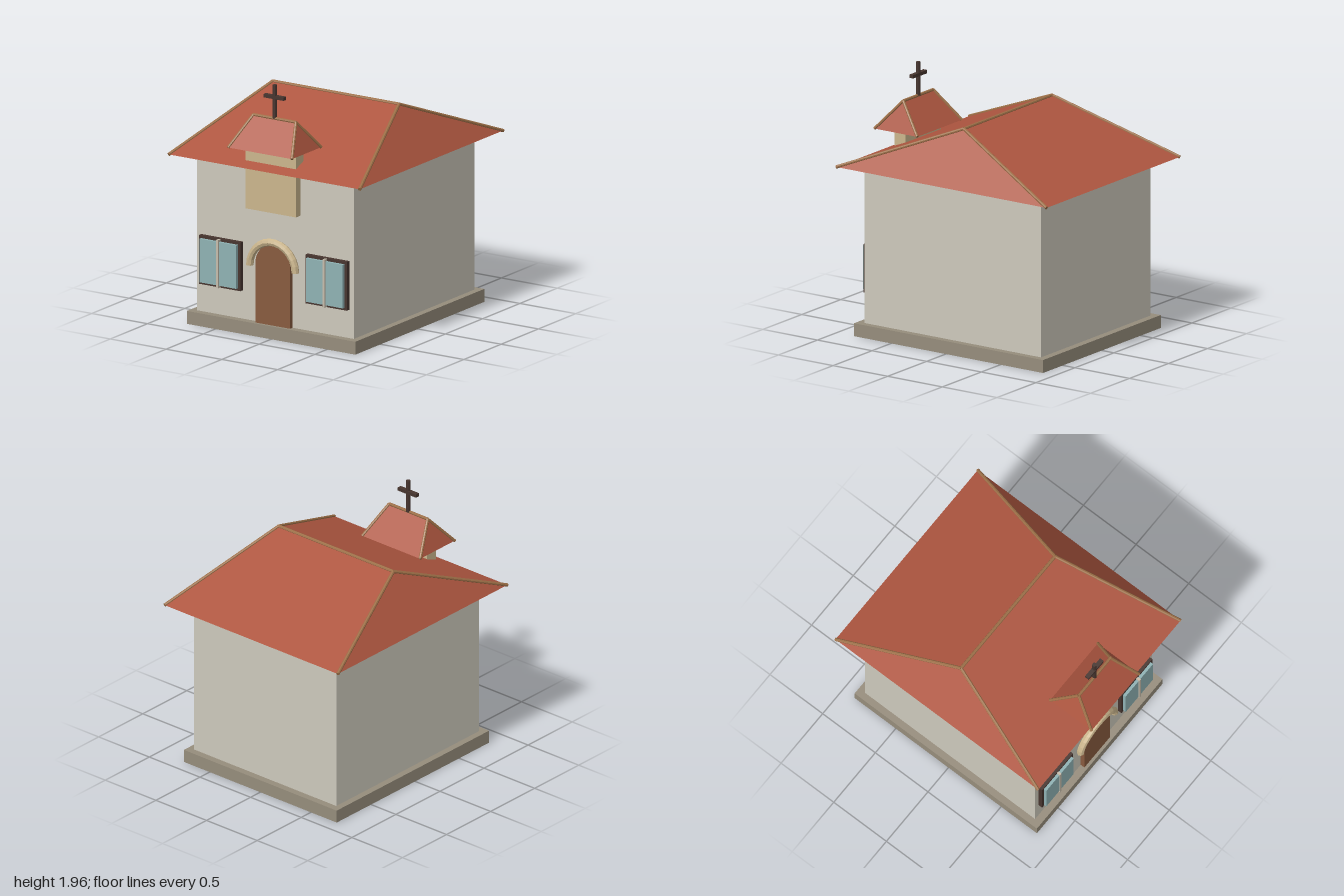
import * as THREE from 'three';

const mat = (name, color, flatShading = true) => {
  const m = new THREE.MeshStandardMaterial({ color, flatShading });
  m.name = name;
  return m;
};

export function createModel() {
  const model = new THREE.Group();
  const plaster = mat('plaster', 0xcdc9bc);
  const stone = mat('baseStone', 0x968d7c);
  const tile = mat('roofTile', 0xae5640);
  const trim = mat('ridgeTile', 0x9c6f47);
  const sand = mat('sandstone', 0xcbb68d);
  const wood = mat('doorWood', 0x885b3f);
  const dark = mat('darkWood', 0x47352f);
  const glass = mat('glass', 0x8fb2b4);
  const pale = mat('mullionPaint', 0xc6bdac);

  const add = (name, geo, material, parent = model) => {
    const mesh = new THREE.Mesh(geo, material);
    mesh.name = name;
    parent.add(mesh);
    return mesh;
  };
  // Box given by its min and max on each axis
  const box = (name, material, x0, x1, y0, y1, z0, z1, parent) =>
    add(name, new THREE.BoxGeometry(x1 - x0, y1 - y0, z1 - z0), material, parent)
      .position.set((x0 + x1) / 2, (y0 + y1) / 2, (z0 + z1) / 2);

  // Hipped roof with a flat underside and round tiles on ridge and hips
  const hipRoof = (name, w, y0, z0, z1, ridgeW, y1, ridgeZ, r) => {
    const group = new THREE.Group();
    group.name = name;
    const p = [[-w, y0, z1], [w, y0, z1], [w, y0, z0], [-w, y0, z0], [-ridgeW, y1, ridgeZ], [ridgeW, y1, ridgeZ]];
    const faces = [0, 1, 5, 0, 5, 4, 1, 2, 5, 2, 3, 4, 2, 4, 5, 3, 0, 4, 0, 3, 2, 0, 2, 1];
    const geo = new THREE.BufferGeometry();
    geo.setAttribute('position', new THREE.Float32BufferAttribute(faces.flatMap(i => p[i]), 3));
    geo.computeVertexNormals();
    add(name + 'Slopes', geo, tile, group);
    for (const [a, b] of [[4, 5], [0, 4], [3, 4], [1, 5], [2, 5]]) {
      const A = new THREE.Vector3(...p[a]), B = new THREE.Vector3(...p[b]);
      const dir = B.clone().sub(A);
      const tube = add(name + 'Trim', new THREE.CylinderGeometry(r, r, dir.length(), 8), trim, group);
      tube.position.copy(A).add(B).multiplyScalar(0.5);
      tube.quaternion.setFromUnitVectors(new THREE.Vector3(0, 1, 0), dir.normalize());
    }
    model.add(group);
  };

  // Main body
  box('base', stone, -0.755, 0.755, 0, 0.1, -0.89, 0.84);
  box('walls', plaster, -0.703, 0.703, 0.1, 1.32, -0.835, 0.782);
  hipRoof('mainRoof', 0.855, 1.318, -0.993, 0.932, 0.565, 1.705, -0.03, 0.013);

  // Bell gable block with its own roof
  box('gableBlock', sand, -0.226, 0.226, 0.98, 1.478, 0.745, 0.845);
  hipRoof('gableRoof', 0.286, 1.475, 0.596, 0.988, 0.19, 1.7, 0.792, 0.012);

  // Cross
  add('crossPost', new THREE.CylinderGeometry(0.017, 0.017, 0.26, 8), dark).position.set(0, 1.83, 0.79);
  box('crossBar', dark, -0.09, 0.09, 1.852, 1.878, 0.773, 0.807);

  // Arched door
  const door = new THREE.Shape();
  door.moveTo(-0.155, 0.1);
  door.lineTo(0.155, 0.1);
  door.lineTo(0.155, 0.565);
  door.absarc(0, 0.565, 0.155, 0, Math.PI, false);
  door.lineTo(-0.155, 0.1);
  add('door', new THREE.ExtrudeGeometry(door, { depth: 0.04, bevelEnabled: false, curveSegments: 16 }), wood)
    .position.z = 0.777;

  // Stone arch made of separate rounded blocks
  const arch = new THREE.Group();
  arch.name = 'doorArch';
  arch.position.set(0, 0.54, 0.82);
  const stones = 13;
  for (let i = 0; i < stones; i++) {
    const block = add('archStone', new THREE.TorusGeometry(0.204, 0.029, 8, 1, Math.PI / stones), sand, arch);
    block.rotation.z = i * Math.PI / stones;
  }
  for (const s of [-1, 1]) {
    const cap = add('archEnd', new THREE.CircleGeometry(0.029, 8), sand, arch);
    cap.position.x = s * 0.204;
    cap.rotation.x = Math.PI / 2;
  }
  model.add(arch);

  // Windows either side of the door
  for (const s of [-1, 1]) {
    const win = new THREE.Group();
    win.name = s > 0 ? 'leftWindow' : 'rightWindow';
    win.position.x = s * 0.477;
    box('windowFrame', dark, -0.186, 0.186, 0.32, 0.697, 0.778, 0.817, win);
    box('windowGlass', glass, -0.165, 0.165, 0.34, 0.677, 0.815, 0.84, win);
    box('mullion', pale, -0.009, 0.009, 0.322, 0.695, 0.815, 0.848, win);
    model.add(win);
  }
  return model;
}
